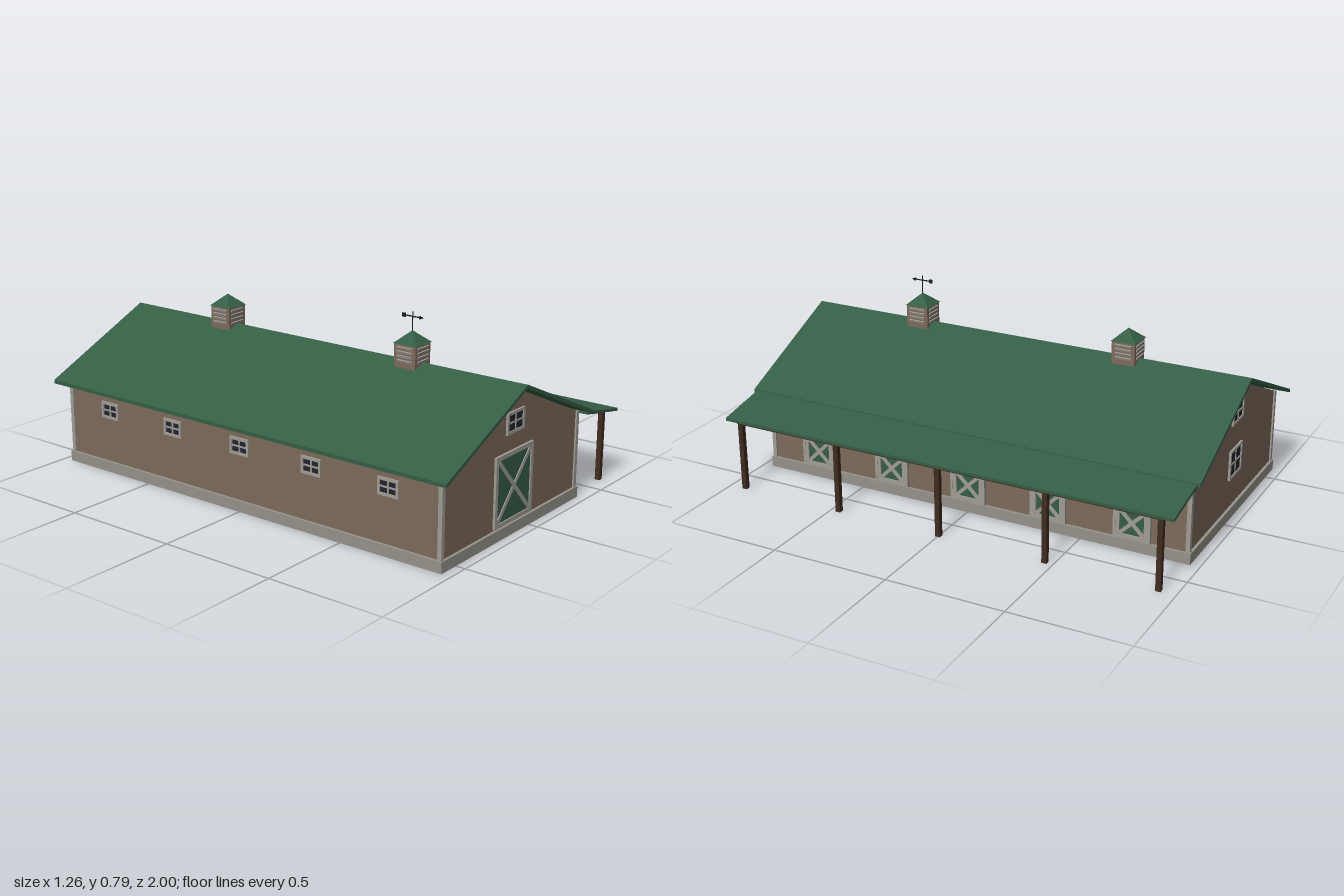
import * as THREE from 'three';

const mat = (name, color) => {
  const m = new THREE.MeshStandardMaterial({ color });
  m.name = name;
  return m;
};

export function createModel() {
  const siding = mat('brown siding', 0x7d6a5b);
  const green = mat('green paint', 0x355e45);
  const trim = mat('light trim', 0x9f9c93);
  const stone = mat('grey foundation', 0x949289);
  const glass = mat('dark glass', 0x232330);
  const timber = mat('dark timber', 0x3f2c20);
  const iron = mat('black iron', 0x1c1c1c);

  const CX = -0.11;              // ridge line
  const HALF = 0.47, LEN = 0.948; // wall half width and half length
  const model = new THREE.Group();
  model.name = 'stableBarn';

  const add = (parent, name, geo, m, x = 0, y = 0, z = 0) => {
    const mesh = new THREE.Mesh(geo, m);
    mesh.name = name;
    mesh.position.set(x, y, z);
    parent.add(mesh);
    return mesh;
  };
  const box = (parent, name, m, w, h, d, x, y, z) =>
    add(parent, name, new THREE.BoxGeometry(w, h, d), m, x, y, z);
  const group = (name, x, y, z, turn = 0) => {
    const g = new THREE.Group();
    g.name = name;
    g.position.set(x, y, z);
    g.rotation.y = turn;
    model.add(g);
    return g;
  };
  // Profile in x and y, extruded along z and centred
  const prism = (name, pts, half, m) => {
    const shape = new THREE.Shape(pts.map(([x, y]) => new THREE.Vector2(x, y)));
    const geo = new THREE.ExtrudeGeometry(shape, { depth: half * 2, bevelEnabled: false });
    return add(model, name, geo, m, 0, 0, -half);
  };
  // Rectangular border, centred on x, y of its parent
  const frame = (g, w, h, t, d, y = 0) => {
    for (const s of [-1, 1]) {
      box(g, 'frameSide', trim, t, h, d, s * (w - t) / 2, y, d / 2);
      box(g, 'frameRail', trim, w - 2 * t, t, d, 0, y + s * (h - t) / 2, d / 2);
    }
  };
  const cross = (g, w, h, t, d, y = 0) => {
    for (const s of [-1, 1]) {
      const bar = box(g, 'crossBrace', trim, Math.hypot(w, h) - t, t, d, 0, y, d / 2);
      bar.rotation.z = s * Math.atan2(h, w);
    }
  };
  const windowAt = (name, w, h, x, y, z, turn) => {
    const g = group(name, x, y, z, turn);
    box(g, 'pane', glass, w - 0.01, h - 0.01, 0.004, 0, 0, 0.002);
    frame(g, w, h, 0.011, 0.009);
    box(g, 'mullion', trim, 0.007, h - 0.02, 0.007, 0, 0, 0.0035);
    box(g, 'transom', trim, w - 0.02, 0.007, 0.007, 0, 0, 0.0035);
  };

  // Foundation, walls and corner boards
  box(model, 'foundation', stone, 0.966, 0.045, 1.92, CX, 0.0225, 0);
  prism('walls', [
    [CX - HALF, 0.04], [CX + HALF, 0.04], [CX + HALF, 0.365], [CX, 0.575], [CX - HALF, 0.365],
  ], LEN, siding);
  for (const sx of [-1, 1]) for (const sz of [-1, 1]) {
    box(model, 'cornerBoard', trim, 0.018, 0.32, 0.018, CX + sx * 0.469, 0.205, sz * 0.946);
  }

  // Main roof and the lower porch roof
  prism('roof', [
    [CX - 0.523, 0.348], [CX, 0.582], [CX + 0.523, 0.348],
    [CX + 0.523, 0.363], [CX, 0.597], [CX - 0.523, 0.363],
  ], 1, green);
  prism('porchRoof', [[0.375, 0.353], [0.631, 0.304], [0.631, 0.316], [0.375, 0.366]], 0.987, green);

  // Porch beam and posts
  box(model, 'porchBeam', timber, 0.028, 0.016, 1.88, 0.605, 0.302, 0);
  for (let i = -2; i <= 2; i++) {
    box(model, 'porchPost', timber, 0.021, 0.3, 0.021, 0.605, 0.15, i * 0.4645);
  }

  // Front barn door
  const door = group('barnDoor', CX, 0.194, LEN);
  box(door, 'doorPanel', green, 0.25, 0.275, 0.005, 0, 0, 0.0025);
  frame(door, 0.262, 0.286, 0.017, 0.01);
  cross(door, 0.235, 0.258, 0.017, 0.009);

  // Gable and side windows
  windowAt('frontGableWindow', 0.12, 0.086, CX, 0.448, LEN, 0);
  windowAt('backGableWindow', 0.12, 0.086, CX, 0.448, -LEN, Math.PI);
  windowAt('backWindow', 0.135, 0.125, CX, 0.235, -LEN, Math.PI);

  for (let i = -2; i <= 2; i++) {
    const z = i * 0.358;
    windowAt('sideWindow', 0.095, 0.07, CX - HALF, 0.27, z, -Math.PI / 2);

    // Split stall door with its upper leaf swung open
    const stall = group('stallDoor', CX + HALF, 0, z, Math.PI / 2);
    box(stall, 'opening', glass, 0.14, 0.125, 0.004, 0, 0.237, 0.002);
    box(stall, 'lowerPanel', green, 0.14, 0.13, 0.006, 0, 0.113, 0.003);
    frame(stall, 0.156, 0.26, 0.011, 0.013, 0.175);
    frame(stall, 0.138, 0.138, 0.018, 0.012, 0.116);
    cross(stall, 0.108, 0.106, 0.015, 0.011, 0.116);
    box(stall, 'upperLeaf', green, 0.138, 0.118, 0.009, -0.147, 0.237, 0.0045);
    for (const y of [0.195, 0.274]) {
      box(stall, 'hinge', iron, 0.036, 0.008, 0.006, -0.08, y, 0.013);
    }
  }

  // Louvred cupolas on the ridge
  for (const z of [0.478, -0.476]) {
    const cupola = group('cupola', CX, 0, z);
    box(cupola, 'cupolaBody', siding, 0.1, 0.12, 0.1, 0, 0.61, 0);
    for (let side = 0; side < 4; side++) {
      const face = new THREE.Group();
      face.name = 'louvres';
      face.rotation.y = side * Math.PI / 2;
      cupola.add(face);
      for (let k = 0; k < 4; k++) {
        const slat = box(face, 'slat', trim, 0.072, 0.01, 0.005, 0, 0.602 + k * 0.0175, 0.051);
        slat.rotation.x = 0.35;
      }
    }
    const cap = new THREE.CylinderGeometry(0, 0.054 * Math.SQRT2, 0.049, 4, 1)
      .rotateY(Math.PI / 4).toNonIndexed();
    cap.computeVertexNormals();
    add(cupola, 'cupolaRoof', cap, green, 0, 0.6925, 0);
  }

  // Weather vane on the front cupola
  const vane = group('weatherVane', CX, 0, 0.478);
  add(vane, 'rod', new THREE.CylinderGeometry(0.002, 0.002, 0.085, 8), iron, 0, 0.749, 0);
  box(vane, 'arrowShaft', iron, 0.004, 0.004, 0.09, 0, 0.772, 0);
  box(vane, 'arrowTail', iron, 0.004, 0.016, 0.016, 0, 0.772, -0.041);
  add(vane, 'arrowHead', new THREE.ConeGeometry(0.007, 0.018, 8).rotateX(Math.PI / 2), iron, 0, 0.772, 0.043);

  return model;
}
